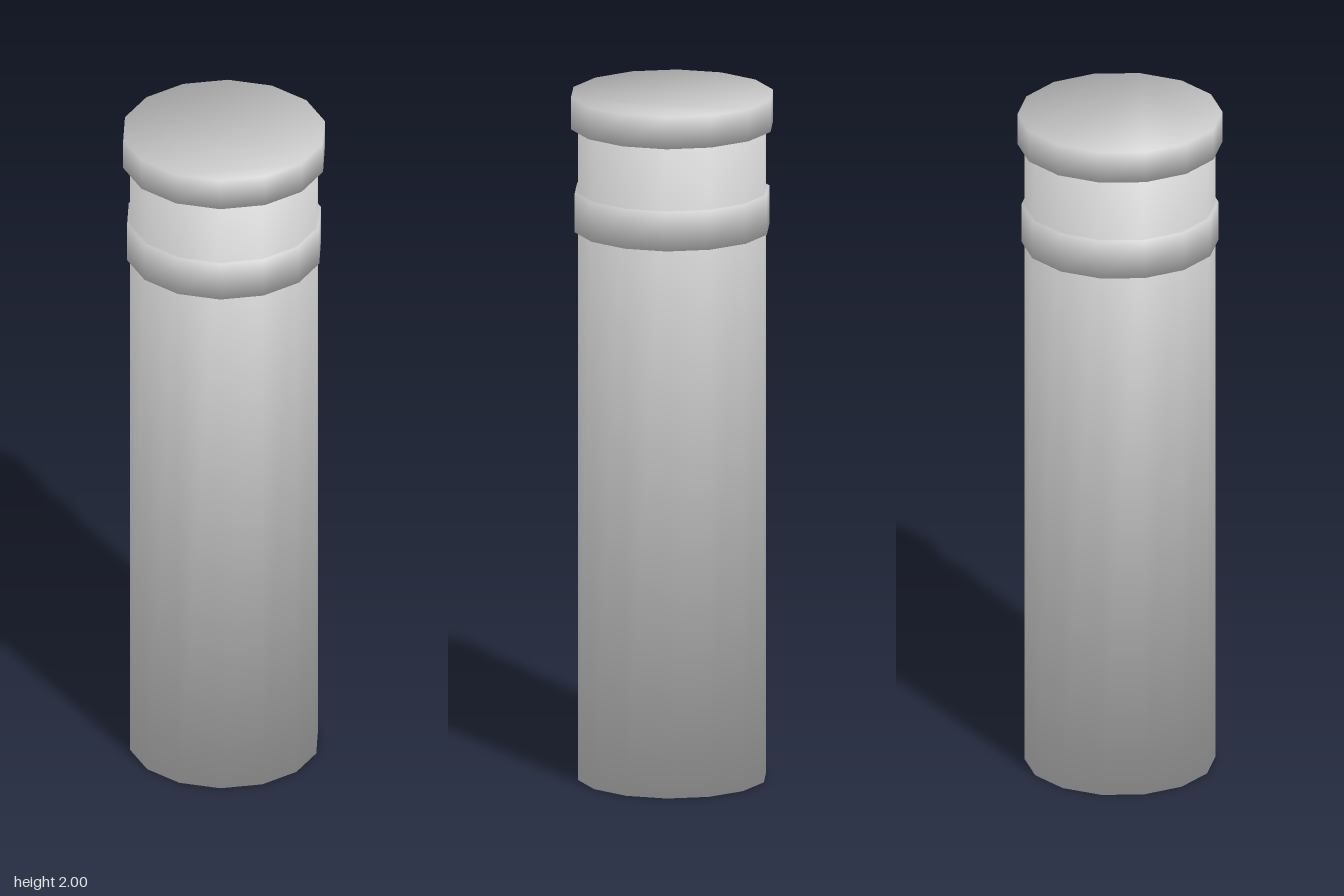
import * as THREE from 'three';

const SIDES = 14;

// Closed prism with one shared vertex per corner, so shading flows softly
// from the sides over the rims onto the end faces.
function softPrism(radius, bottom, top) {
  const positions = [], normals = [], index = [];
  for (let i = 0; i < SIDES; i++) {
    const a = (i / SIDES) * Math.PI * 2;
    const s = Math.sin(a), c = Math.cos(a);
    for (const [y, ny] of [[bottom, -1], [top, 1]]) {
      positions.push(radius * s, y, radius * c);
      normals.push(s * Math.SQRT1_2, ny * Math.SQRT1_2, c * Math.SQRT1_2);
    }
    // side quad
    const b0 = 2 * i, t0 = b0 + 1;
    const b1 = 2 * ((i + 1) % SIDES), t1 = b1 + 1;
    index.push(b0, b1, t1, b0, t1, t0);
    // end faces, fanned from the first corner
    if (i > 0 && i < SIDES - 1) index.push(1, t0, t1, 0, b1, b0);
  }
  const geometry = new THREE.BufferGeometry();
  geometry.setAttribute('position', new THREE.Float32BufferAttribute(positions, 3));
  geometry.setAttribute('normal', new THREE.Float32BufferAttribute(normals, 3));
  geometry.setIndex(index);
  return geometry;
}

export function createModel() {
  const model = new THREE.Group();
  model.name = 'bollard';

  const grey = new THREE.MeshStandardMaterial({ color: 0xcccccc });
  grey.name = 'light grey';

  // name, radius, bottom, top
  const parts = [
    ['post', 0.272, 0, 1.95],
    ['collar', 0.281, 1.605, 1.72],
    ['cap', 0.292, 1.907, 2],
  ];
  for (const [name, radius, bottom, top] of parts) {
    const mesh = new THREE.Mesh(softPrism(radius, bottom, top), grey);
    mesh.name = name;
    model.add(mesh);
  }
  return model;
}
